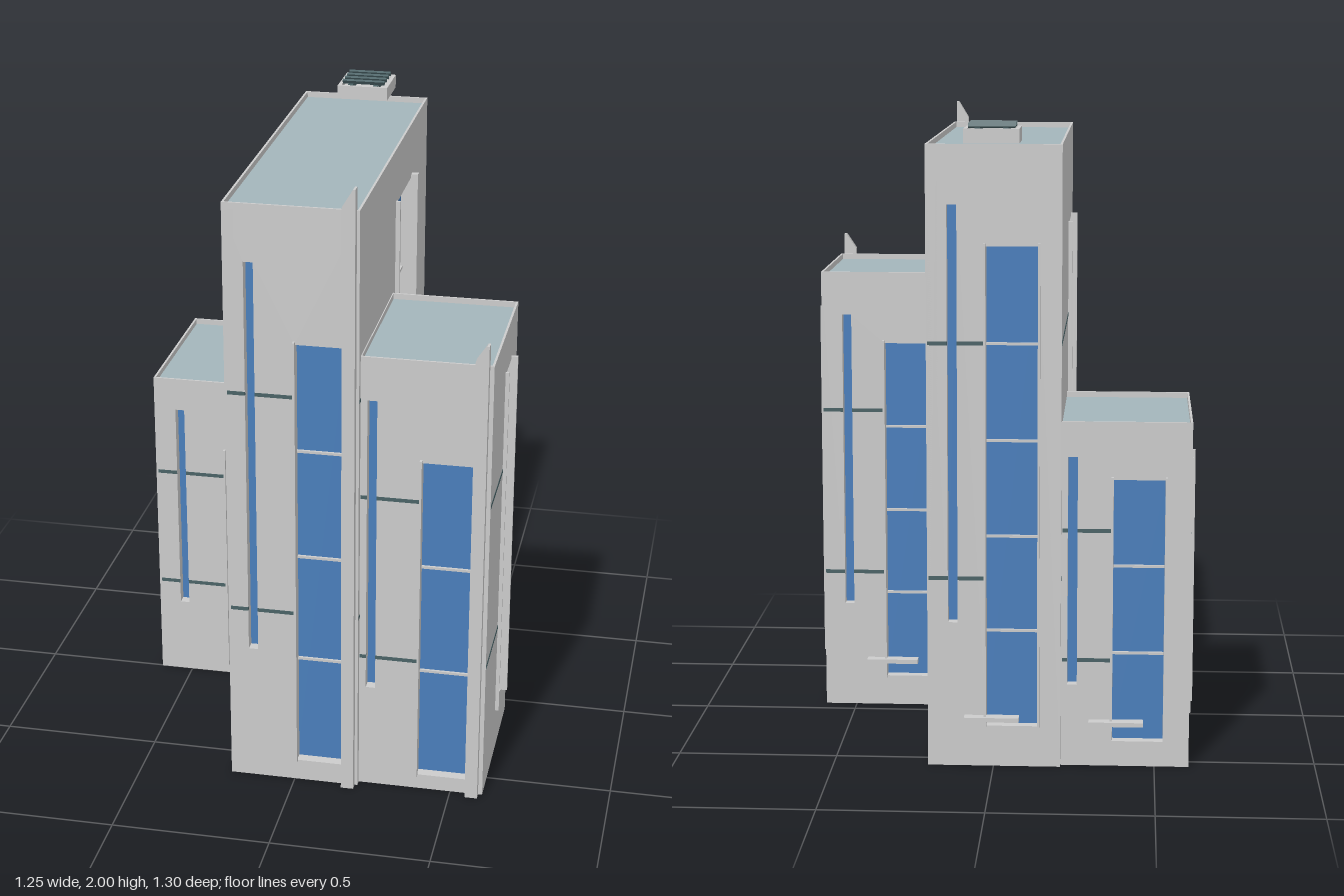
import * as THREE from 'three';

const mat = (color) => new THREE.MeshStandardMaterial({ color });
const wallMat = mat(0xcccccc);
const glassMat = mat(0x4a7ebb);
const roofMat = mat(0xa3b5ba);
const darkMat = mat(0x4a6266);
const T = 0.035; // depth of window recesses

// Box given by its minimum and maximum on each axis
function box(parent, name, material, [x0, x1], [y0, y1], [z0, z1]) {
  const mesh = new THREE.Mesh(new THREE.BoxGeometry(x1 - x0, y1 - y0, z1 - z0), material);
  mesh.position.set((x0 + x1) / 2, (y0 + y1) / 2, (z0 + z1) / 2);
  mesh.name = name;
  parent.add(mesh);
  return mesh;
}

function rect(Type, x0, x1, y0, y1) {
  const s = new Type();
  s.moveTo(x0, y0);
  s.lineTo(x1, y0);
  s.lineTo(x1, y1);
  s.lineTo(x0, y1);
  s.closePath();
  return s;
}

function extrude(parent, name, material, shape, depth, z) {
  const mesh = new THREE.Mesh(new THREE.ExtrudeGeometry(shape, { depth, bevelEnabled: false }), material);
  mesh.position.z = z;
  mesh.name = name;
  parent.add(mesh);
  return mesh;
}

// One outer wall, drawn looking straight at it: u to the right, v up, d = distance from the centre
function facade(parent, name, turn, o) {
  const g = new THREE.Group();
  g.name = name;
  g.rotation.y = turn;
  parent.add(g);
  const { d, span, h, win, panels, slot, bands, bandSpan, posts = [], shelf, fin } = o;
  const wall = rect(THREE.Shape, span[0], span[1], 0, h);
  for (const hole of [win, slot]) {
    if (!hole) continue;
    wall.holes.push(rect(THREE.Path, ...hole));
    const [a, b, v0, v1] = hole;
    box(g, 'glass', glassMat, [a - 0.004, b + 0.004], [v0 - 0.004, v1 + 0.004], [d - T - 0.008, d - T + 0.002]);
  }
  extrude(g, 'wall', wallMat, wall, T, d - T);
  // Thin bars between the panes
  const [a, b, v0, v1] = win;
  for (let i = 1; i < panels; i++) {
    const v = v0 + ((v1 - v0) * i) / panels;
    box(g, 'mullion', wallMat, [a, b], [v - 0.004, v + 0.004], [d - T, d - T + 0.01]);
  }
  // Dark joint lines, interrupted by the slot
  for (const v of bands) {
    const pieces = slot ? [[bandSpan[0], slot[0]], [slot[1], bandSpan[1]]] : [bandSpan];
    for (const p of pieces) box(g, 'jointLine', darkMat, p, [v - 0.006, v + 0.006], [d - 0.01, d + 0.001]);
  }
  // Upright trims beside the window: [u0, u1, projection]
  for (const [p0, p1, out] of posts) {
    box(g, 'windowTrim', wallMat, [p0, p1], [v0 - 0.003, v1 + 0.01], [d - 0.005, d + out]);
  }
  if (shelf) box(g, 'windowShelf', wallMat, [shelf[0], shelf[1]], [shelf[2], shelf[2] + 0.014], [d - 0.005, d + 0.032]);
  // Tall blade with a slanted top: [u0, u1, low side, high side]
  if (fin) {
    const s = new THREE.Shape();
    s.moveTo(fin[0], 0);
    s.lineTo(fin[1], 0);
    s.lineTo(fin[1], fin[3]);
    s.lineTo(fin[1] - 0.007, fin[3]);
    s.lineTo(fin[0], fin[2]);
    s.closePath();
    extrude(g, 'fin', wallMat, s, 0.03, d - 0.005);
  }
}

// Floor, sunken roof and thin parapet of one block
function shell(parent, x, z, h) {
  box(parent, 'floor', wallMat, [x[0] + 0.002, x[1] - 0.002], [0, 0.02], [z[0] + 0.002, z[1] - 0.002]);
  box(parent, 'roof', roofMat, [x[0] + 0.004, x[1] - 0.004], [h - 0.04, h - 0.018], [z[0] + 0.004, z[1] - 0.004]);
  const rim = rect(THREE.Shape, x[0], x[1], -z[1], -z[0]);
  const e = 0.007;
  rim.holes.push(rect(THREE.Path, x[0] + e, x[1] - e, -z[1] + e, -z[0] - e));
  const m = extrude(parent, 'parapet', wallMat, rim, 0.022, 0);
  m.rotation.x = -Math.PI / 2;
  m.position.y = h - 0.022;
}

function block(root, name, x, z, h, faces) {
  const g = new THREE.Group();
  g.name = name;
  root.add(g);
  shell(g, x, z, h);
  const sides = {
    front: [0, z[1], [x[0], x[1]]],
    back: [Math.PI, -z[0], [-x[1], -x[0]]],
    left: [Math.PI / 2, x[1], [-z[1], -z[0]]],
    right: [-Math.PI / 2, -x[0], [z[0], z[1]]],
  };
  for (const key of Object.keys(faces)) {
    const [turn, d, span] = sides[key];
    facade(g, key + 'Facade', turn, { d, span, h: h - 0.02, ...faces[key] });
  }
}

export function createModel() {
  const root = new THREE.Group();
  root.name = 'building';

  // Tall middle block
  const mainBands = [0.6, 1.33];
  block(root, 'mainTower', [-0.208, 0.204], [-0.57, 0.625], 1.93, {
    front: {
      win: [0.008, 0.155, 0.07, 1.5], panels: 4, slot: [-0.145, -0.115, 0.46, 1.75],
      bands: mainBands, bandSpan: [-0.2, 0.004], posts: [[0.003, 0.01, 0.013]], fin: [0.155, 0.195, 1.945, 2],
    },
    back: {
      win: [-0.022, 0.136, 0.13, 1.625], panels: 5, slot: [-0.14, -0.11, 0.46, 1.75],
      bands: mainBands, bandSpan: [-0.2, -0.022],
      posts: [[-0.029, -0.022, 0.02], [0.136, 0.143, 0.02]], shelf: [-0.09, 0.08, 0.15],
    },
    left: {
      win: [-0.01, 0.264, 0.2, 1.75], panels: 5, bands: mainBands, bandSpan: [-0.62, -0.03],
      posts: [[-0.022, -0.01, 0.014], [0.264, 0.286, 0.022]],
    },
    right: {
      win: [0.128, 0.403, 0.14, 1.625], panels: 5, bands: mainBands, bandSpan: [-0.565, 0.113],
      posts: [[0.113, 0.128, 0.014], [0.403, 0.425, 0.022]],
    },
  });

  // Middle-height block on the model's left
  const leftBands = [0.46, 1.01];
  block(root, 'leftWing', [0.2, 0.603], [0.058, 0.603], 1.47, {
    front: {
      win: [0.392, 0.55, 0.05, 1.14], panels: 3, slot: [0.225, 0.255, 0.35, 1.33],
      bands: leftBands, bandSpan: [0.205, 0.388], posts: [[0.387, 0.394, 0.013]], fin: [0.55, 0.59, 1.49, 1.54],
    },
    back: {
      win: [-0.395, -0.235, 0.1, 1.235], panels: 4, slot: [-0.535, -0.505, 0.35, 1.33],
      bands: leftBands, bandSpan: [-0.6, -0.4],
      posts: [[-0.402, -0.395, 0.02], [-0.235, -0.228, 0.02]], shelf: [-0.46, -0.29, 0.15],
    },
    left: {
      win: [-0.325, -0.197, 0.155, 1.33], panels: 4, bands: leftBands, bandSpan: [-0.598, -0.33],
      posts: [[-0.332, -0.325, 0.012], [-0.197, -0.187, 0.021]],
    },
  });

  // Low block on the model's right
  const rightBands = [0.34, 0.75];
  block(root, 'rightWing', [-0.607, -0.2], [-0.55, 0.003], 1.09, {
    front: {
      win: [-0.367, -0.212, 0.037, 0.84], panels: 3, slot: [-0.535, -0.505, 0.26, 0.98],
      bands: rightBands, bandSpan: [-0.6, -0.371], posts: [[-0.372, -0.365, 0.013]],
    },
    back: {
      win: [0.368, 0.526, 0.08, 0.91], panels: 3, slot: [0.228, 0.258, 0.26, 0.98],
      bands: rightBands, bandSpan: [0.212, 0.362],
      posts: [[0.361, 0.368, 0.02], [0.526, 0.533, 0.02]], shelf: [0.295, 0.465, 0.135],
    },
    right: {
      win: [-0.232, -0.105, 0.08, 0.91], panels: 3, bands: rightBands, bandSpan: [-0.545, -0.24],
      posts: [[-0.24, -0.232, 0.012], [-0.105, -0.095, 0.021]],
    },
  });

  // Ventilation unit at the back edge of the tall roof
  const vent = new THREE.Group();
  vent.name = 'roofVent';
  root.add(vent);
  box(vent, 'ventBase', wallMat, [-0.083, 0.083], [1.937, 1.965], [-0.65, -0.483]);
  for (const s of [-1, 1]) {
    box(vent, 'ventRim', wallMat, s < 0 ? [-0.083, -0.072] : [0.072, 0.083], [1.965, 1.98], [-0.65, -0.483]);
    const z = -0.5665 + s * 0.078;
    box(vent, 'ventRim', wallMat, [-0.072, 0.072], [1.965, 1.98], [z - 0.0055, z + 0.0055]);
    box(vent, 'ventBar', darkMat, [s * 0.042 - 0.008, s * 0.042 + 0.008], [1.965, 1.982], [-0.64, -0.493]);
  }
  for (let i = 0; i < 4; i++) {
    const z = -0.625 + i * 0.039;
    const slat = box(vent, 'ventSlat', darkMat, [-0.07, 0.07], [1.982, 1.996], [z - 0.004, z + 0.004]);
    slat.rotation.x = 0.6;
  }
  return root;
}
